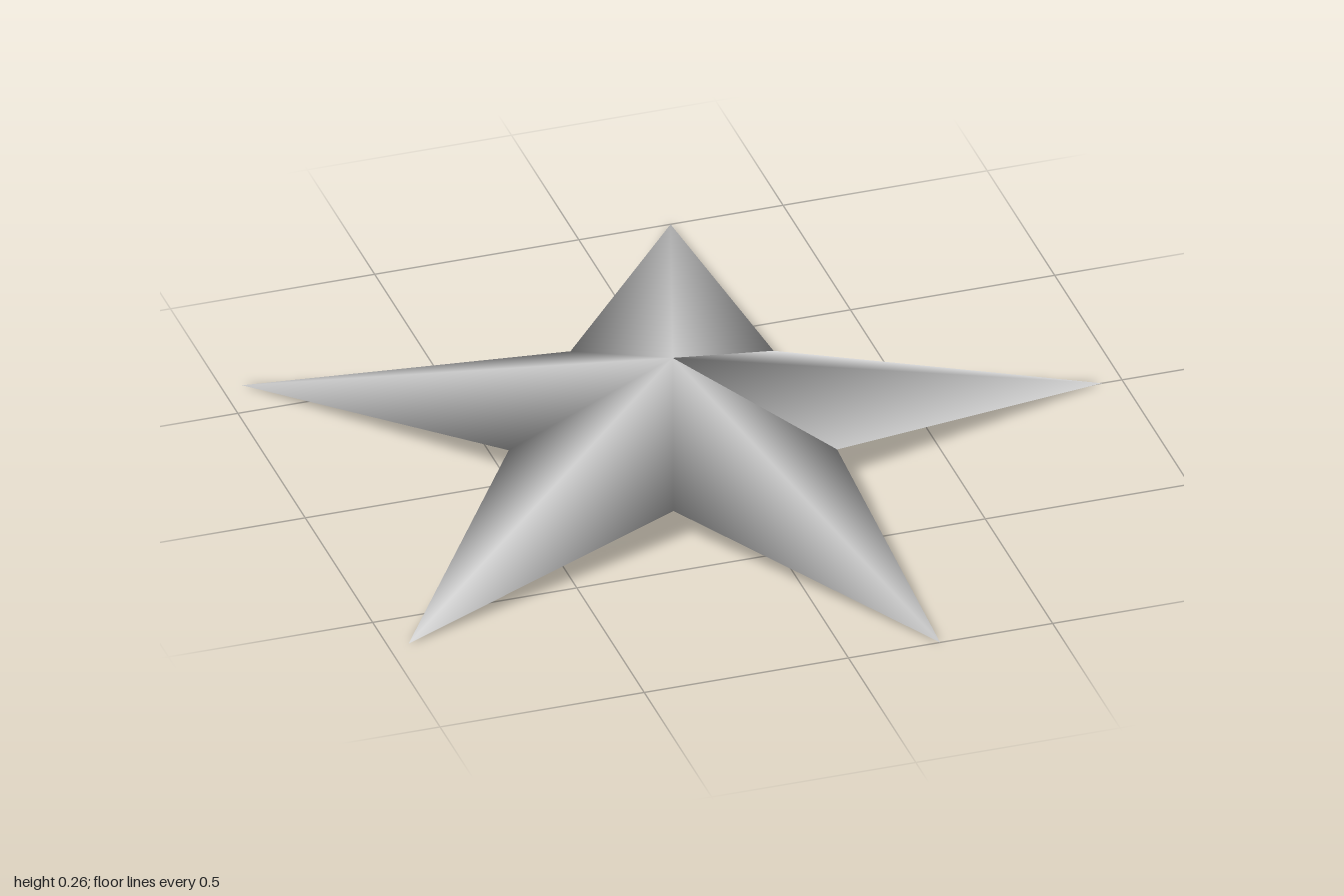
import * as THREE from 'three';

const TIP_RADIUS = 1.0515;
const NOTCH_RADIUS = 0.4016;
const NOTCH_HEIGHT = 0.09;
const PEAK_HEIGHT = 0.265;
const CENTRE_X = -0.1004;

export function createModel() {
  const grey = new THREE.MeshStandardMaterial({ color: 0xcccccc });
  grey.name = 'light grey';

  // Rim: tips on the ground alternate with raised notches
  const positions = [];
  for (let i = 0; i < 10; i++) {
    const angle = (i * Math.PI) / 5;
    const isTip = i % 2 === 0;
    const r = isTip ? TIP_RADIUS : NOTCH_RADIUS;
    positions.push(CENTRE_X + r * Math.cos(angle), isTip ? 0 : NOTCH_HEIGHT, r * Math.sin(angle));
  }
  const peak = 10;
  positions.push(CENTRE_X, PEAK_HEIGHT, 0);

  // Upper side: a fan from the peak
  const faces = [];
  for (let i = 0; i < 10; i++) faces.push(peak, (i + 1) % 10, i);

  // Underside: four arms, then the core folded along the front-to-back middle of the fifth arm
  for (let tip = 2; tip <= 8; tip += 2) faces.push(tip - 1, tip, tip + 1);
  faces.push(0, 1, 5, 1, 3, 5, 0, 5, 9, 5, 7, 9);

  // Shared corners give one smooth surface
  const geometry = new THREE.BufferGeometry();
  geometry.setAttribute('position', new THREE.Float32BufferAttribute(positions, 3));
  geometry.setIndex(faces);
  geometry.computeVertexNormals();

  const star = new THREE.Mesh(geometry, grey);
  star.name = 'star';

  const model = new THREE.Group();
  model.name = 'fivePointedStar';
  model.add(star);
  return model;
}
